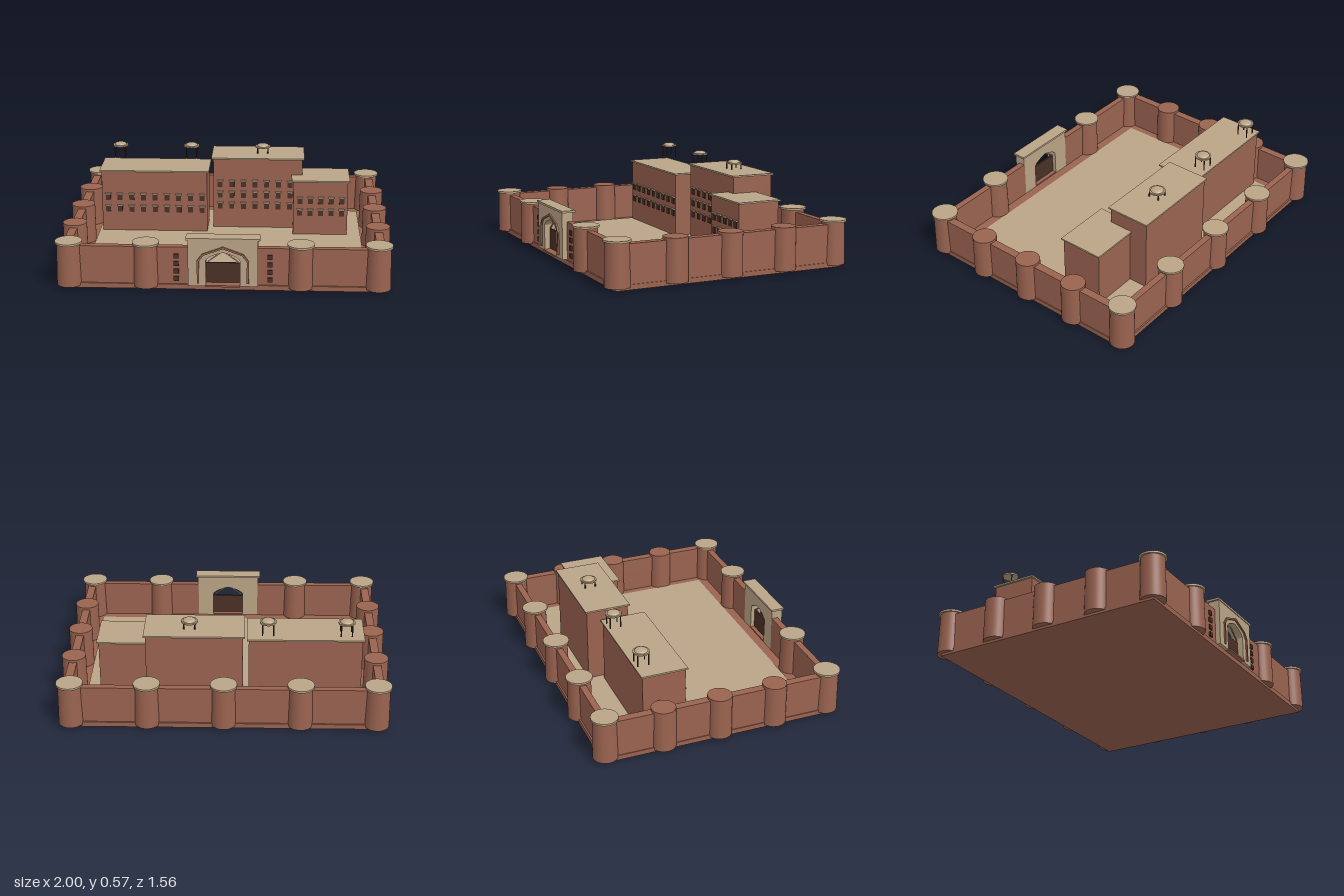
import * as THREE from 'three';

const mat = (name, color, side = THREE.FrontSide) => {
  const m = new THREE.MeshStandardMaterial({ color, side });
  m.name = name;
  return m;
};

export function createModel() {
  const brick = mat('brick', 0x9a6350);
  const sand = mat('sandstone', 0xbaa486);
  const dark = mat('dark openings', 0x4a3026);
  const root = new THREE.Group();
  root.name = 'fort';

  const add = (name, geo, material, x = 0, y = 0, z = 0, parent = root) => {
    const m = new THREE.Mesh(geo, material);
    m.name = name;
    m.position.set(x, y, z);
    parent.add(m);
    return m;
  };
  // Box given by its limits on each axis
  const box = (name, material, x0, x1, y0, y1, z0, z1, parent = root) =>
    add(name, new THREE.BoxGeometry(x1 - x0, y1 - y0, z1 - z0), material,
      (x0 + x1) / 2, (y0 + y1) / 2, (z0 + z1) / 2, parent);
  const group = (name) => {
    const g = new THREE.Group();
    g.name = name;
    root.add(g);
    return g;
  };

  // Plinth and courtyard
  box('plinth', brick, -0.955, 0.955, 0, 0.03, -0.73, 0.73);
  box('courtyard', sand, -0.85, 0.85, 0.03, 0.035, -0.62, 0.62);

  // Curtain walls, with a gap for the gate
  const walls = group('curtainWalls');
  box('backWall', brick, -0.95, 0.95, 0.03, 0.26, -0.72, -0.68, walls);
  for (const s of [-1, 1]) {
    const a = s * 0.2, b = s * 0.95, c = s * 0.9;
    box('frontWall', brick, Math.min(a, b), Math.max(a, b), 0.03, 0.26, 0.68, 0.72, walls);
    box('sideWall', brick, Math.min(c, b), Math.max(c, b), 0.03, 0.26, -0.68, 0.68, walls);
  }

  // Round towers; those on the front and back carry sandstone caps
  const towers = group('towers');
  const tower = (x, z, capped) => {
    const h = 0.26;
    add('tower', new THREE.CylinderGeometry(capped ? 0.07 : 0.073, 0.075, h, 32), brick,
      x, 0.015 + h / 2, z, towers);
    if (capped) add('towerCap', new THREE.CylinderGeometry(0.08, 0.08, 0.012, 32), sand, x, 0.279, z, towers);
  };
  for (const z of [-0.7, 0.7]) for (const x of [-0.91, -0.455, 0.455, 0.91]) tower(x, z, true);
  tower(0, -0.7, true);
  for (const x of [-0.925, 0.925]) for (const z of [-0.35, 0, 0.35]) tower(x, z, false);

  // Gatehouse with a pointed opening
  const gate = group('gatehouse');
  const pointed = (path, w, y0, spring, top) => {
    path.moveTo(-w, y0);
    path.lineTo(w, y0);
    path.lineTo(w, spring);
    path.quadraticCurveTo(w * 0.85, spring + (top - spring) * 0.6, 0, top);
    path.quadraticCurveTo(-w * 0.85, spring + (top - spring) * 0.6, -w, spring);
    path.lineTo(-w, y0);
    return path;
  };
  const extrude = (shape, depth) =>
    new THREE.ExtrudeGeometry(shape, { depth, bevelEnabled: false, curveSegments: 10 });
  const block = new THREE.Shape([[-0.205, 0.03], [0.205, 0.03], [0.205, 0.315], [-0.205, 0.315]]
    .map(([x, y]) => new THREE.Vector2(x, y)));
  block.holes.push(pointed(new THREE.Path(), 0.1, 0.031, 0.19, 0.24));
  add('gateBlock', extrude(block, 0.07), sand, 0, 0, 0.68, gate);
  box('gateCornice', sand, -0.217, 0.217, 0.315, 0.328, 0.67, 0.755, gate);
  box('gateDoor', dark, -0.1, 0.1, 0.04, 0.165, 0.705, 0.715, gate);
  box('gateSill', brick, -0.1, 0.1, 0.028, 0.038, 0.68, 0.76, gate);

  // Brick moulding around the gate arch
  const outline = (w, spring, top) => [
    [-w, 0.05], [-w, spring], [-w * 0.8, spring + (top - spring) * 0.48], [0, top],
    [w * 0.8, spring + (top - spring) * 0.48], [w, spring], [w, 0.05],
  ].map(([x, y]) => new THREE.Vector2(x, y));
  const moulding = new THREE.Shape([...outline(0.152, 0.19, 0.278), ...outline(0.14, 0.187, 0.265).reverse()]);
  add('archMoulding', extrude(moulding, 0.009), brick, 0, 0, 0.75, gate);

  // Slender bracing in the head of the opening
  for (const s of [-1, 1]) {
    const bar = add('archBrace', new THREE.BoxGeometry(0.105, 0.006, 0.006), sand, s * 0.047, 0.203, 0.715, gate);
    bar.rotation.z = -s * 0.65;
  }

  // Small windows beside the gate
  for (const x of [-0.275, 0.275])
    for (const y of [0.065, 0.112, 0.16, 0.205])
      box('wallWindow', dark, x - 0.015, x + 0.015, y - 0.014, y + 0.014, 0.72, 0.729);

  // Palace blocks: flat overhanging roof and rows of windows with lintels
  const palace = (name, x0, x1, z0, z1, top, rows, first, step, count) => {
    const g = group(name);
    box('body', brick, x0, x1, 0.03, top, z0, z1, g);
    box('roof', sand, x0 - 0.012, x1 + 0.012, top, top + 0.01, z0 - 0.01, z1 + 0.01, g);
    for (const y of rows) for (let i = 0; i < count; i++) {
      const x = first + i * step;
      box('window', dark, x - 0.016, x + 0.016, y - 0.022, y + 0.018, z1, z1 + 0.006, g);
      box('lintel', sand, x - 0.02, x + 0.02, y + 0.018, y + 0.025, z1, z1 + 0.014, g);
    }
  };
  palace('westPalace', -0.83, -0.145, -0.44, -0.175, 0.435, [0.265, 0.185], -0.79, 0.0765, 9);
  palace('centralPalace', -0.11, 0.47, -0.53, -0.265, 0.5, [0.335, 0.26, 0.185], -0.065, 0.076, 7);
  palace('eastPalace', 0.413, 0.763, -0.41, -0.145, 0.39, [0.265, 0.185], 0.455, 0.0675, 5);

  // Domed rooftop pavilions on four posts
  for (const x of [-0.73, -0.26, 0.21]) {
    const g = group('pavilion');
    g.position.set(x, 0, -0.41);
    for (const a of [-1, 1]) for (const b of [-1, 1])
      add('post', new THREE.CylinderGeometry(0.004, 0.004, 0.075, 8), dark, a * 0.033, 0.507, b * 0.033, g);
    add('canopy', new THREE.CylinderGeometry(0.05, 0.05, 0.009, 24), sand, 0, 0.548, 0, g);
    add('dome', new THREE.SphereGeometry(0.04, 24, 8, 0, Math.PI * 2, 0, Math.PI / 2), sand, 0, 0.552, 0, g)
      .scale.y = 0.42;
  }
  return root;
}
